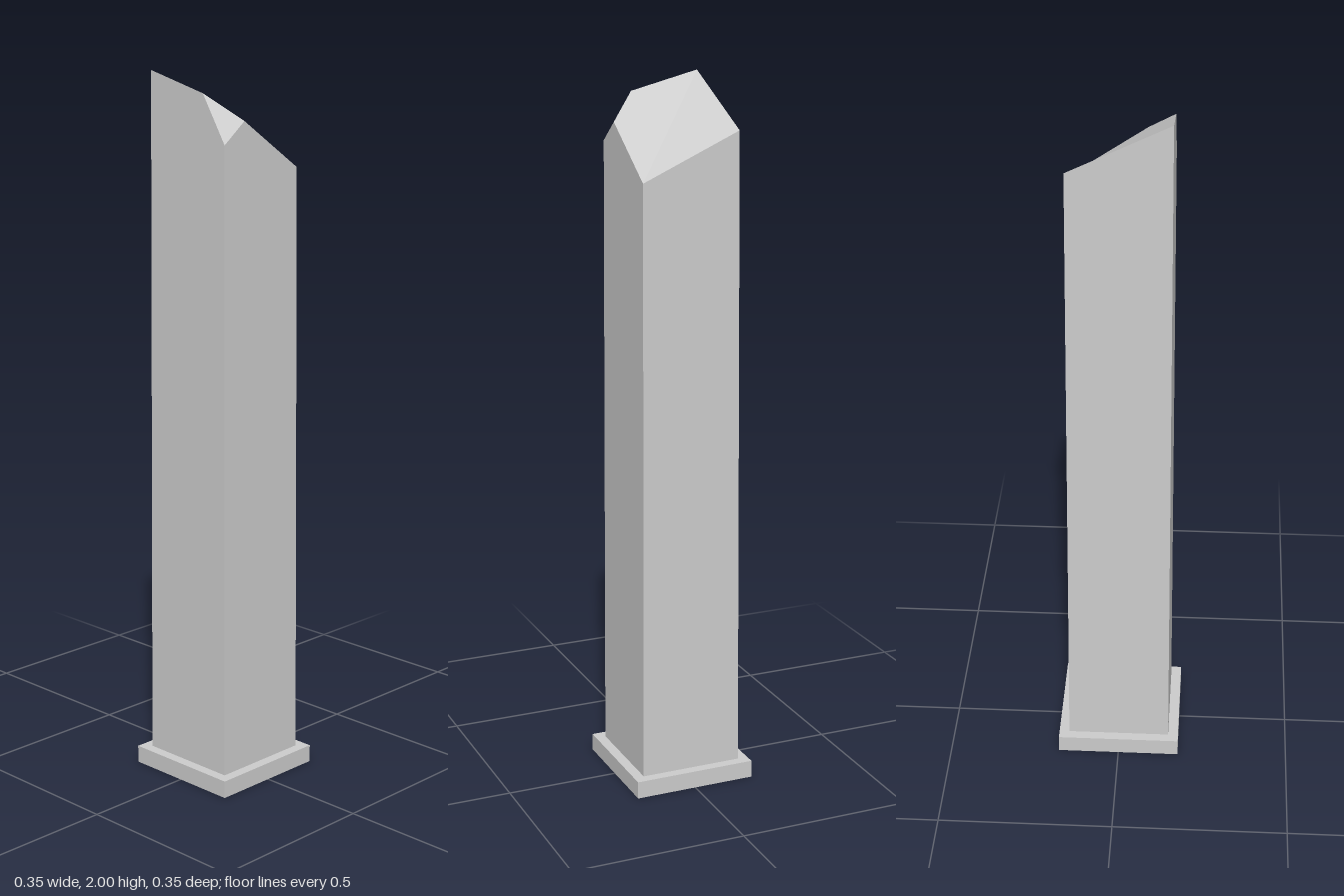
import * as THREE from 'three';

const material = new THREE.MeshStandardMaterial({ color: 0xcccccc, flatShading: true });

// half width of the tapering shaft at height y
const halfWidth = (y) => 0.148 - 0.005 * (y - 0.05);

// point on the shaft: u and v run from -1 to 1 across the width and depth
const at = (u, y, v) => [u * halfWidth(y), y, v * halfWidth(y)];

// flat faces from convex outlines, corners counter-clockwise from outside
function facesGeometry(faces) {
  const positions = [];
  for (const face of faces) {
    for (let i = 1; i < face.length - 1; i++) {
      positions.push(...face[0], ...face[i], ...face[i + 1]);
    }
  }
  const geometry = new THREE.BufferGeometry();
  geometry.setAttribute('position', new THREE.Float32BufferAttribute(positions, 3));
  geometry.computeVertexNormals();
  return geometry;
}

export function createModel() {
  const model = new THREE.Group();
  model.name = 'obelisk';

  // square plinth
  const plinth = new THREE.Mesh(new THREE.BoxGeometry(0.355, 0.05, 0.355), material);
  plinth.name = 'plinth';
  plinth.position.y = 0.025;
  model.add(plinth);

  // foot corners of the shaft
  const footBL = at(-1, 0.05, -1), footBR = at(1, 0.05, -1);
  const footFR = at(1, 0.05, 1), footFL = at(-1, 0.05, 1);

  // slanted top corners, with the front left one cut off
  const topBL = at(-1, 2, -1), topBR = at(1, 1.865, -1);
  const topFR = at(1, 1.74, 1), topFL = at(-1, 1.82, 1);
  const cutSide = at(-1, 1.95, 0.42), cutFront = at(-0.465, 1.878, 1);

  const shaft = new THREE.Mesh(facesGeometry([
    [footFL, footFR, topFR, cutFront, topFL], // front
    [footFR, footBR, topBR, topFR], // +x side
    [footBR, footBL, topBL, topBR], // back
    [footBL, footFL, topFL, cutSide, topBL], // -x side
    [footBL, footBR, footFR, footFL], // underside
    [topBL, topFR, topBR], // sloping top, back half
    [topBL, cutSide, cutFront, topFR], // sloping top, front half
    [topFL, cutFront, cutSide], // cut corner
  ]), material);
  shaft.name = 'shaft';
  model.add(shaft);

  return model;
}
